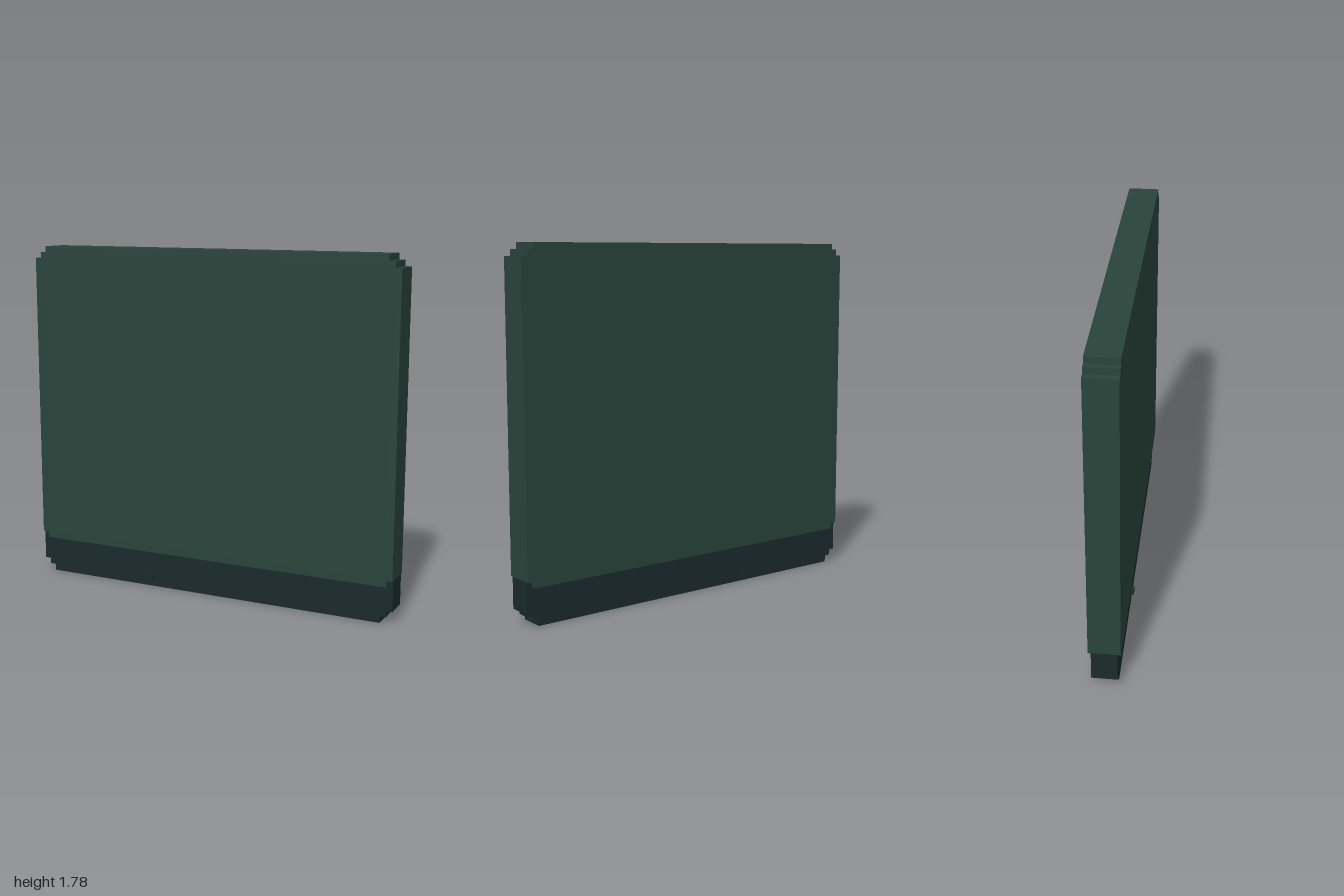
import * as THREE from 'three';

// Extrudes a left-right symmetric outline, given by its +x half from bottom to top
function slab(name, half, depth, material) {
  const mirrored = half.map(([x, y]) => [-x, y]).reverse();
  const shape = new THREE.Shape([...half, ...mirrored].map(([x, y]) => new THREE.Vector2(x, y)));
  const geometry = new THREE.ExtrudeGeometry(shape, { depth, bevelEnabled: false });
  geometry.translate(0, 0, -depth / 2);
  const mesh = new THREE.Mesh(geometry, material);
  mesh.name = name;
  return mesh;
}

export function createModel() {
  const group = new THREE.Group();
  group.name = 'steppedPanel';
  const green = new THREE.MeshStandardMaterial({ color: 0x29443b });
  const dark = new THREE.MeshStandardMaterial({ color: 0x1a2a2b });

  // Thick upper panel with stepped corners
  group.add(slab('upperPanel', [
    [0.968, 0.19], [0.968, 0.222], [1, 0.222], [1, 1.721],
    [0.968, 1.721], [0.968, 1.752], [0.937, 1.752], [0.937, 1.783],
  ], 0.156, green));

  // Slimmer base strip with the same stepped corners
  group.add(slab('baseStrip', [
    [0.937, 0], [0.937, 0.034], [0.968, 0.034], [0.968, 0.065],
    [1, 0.065], [1, 0.222], [0.968, 0.222], [0.968, 0.19],
  ], 0.127, dark));

  // Small button that pokes out of both faces of the base
  const button = new THREE.Mesh(new THREE.BoxGeometry(0.032, 0.031, 0.156), dark);
  button.name = 'button';
  button.position.set(-0.332, 0.05, 0);
  group.add(button);

  return group;
}
